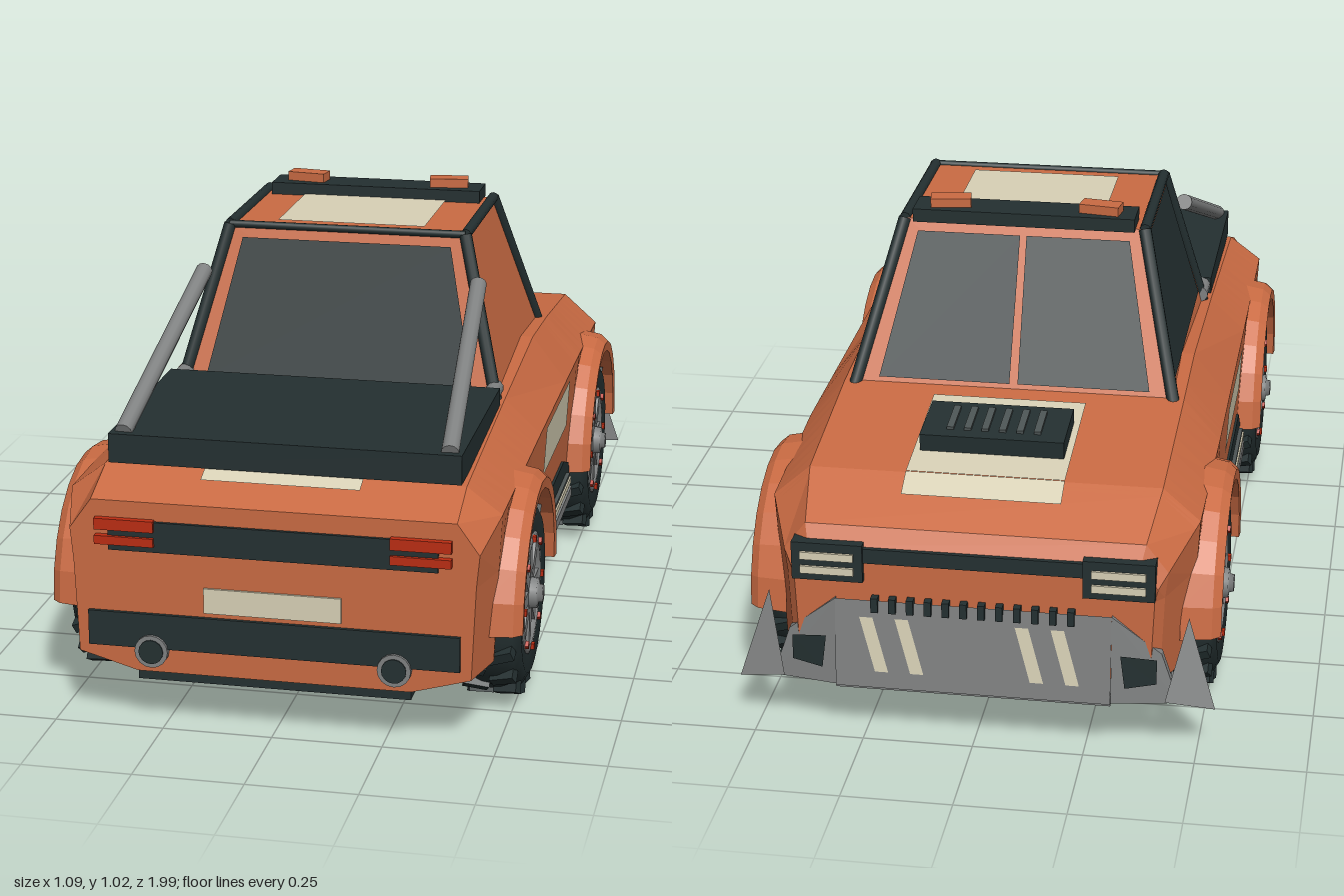
import * as THREE from 'three';
import { ConvexGeometry } from 'three/addons/geometries/ConvexGeometry.js';

const V = (x, y, z) => new THREE.Vector3(x, y, z);
const material = (name, color) => {
  const m = new THREE.MeshStandardMaterial({ color });
  m.name = name;
  return m;
};

export function createModel() {
  const car = new THREE.Group();
  car.name = 'pickupTruck';
  const orange = material('orange paint', 0xca6b43);
  const dark = material('dark trim', 0x243031);
  const cream = material('cream', 0xd8d1b6);
  const grey = material('grey metal', 0x808282);
  const gunmetal = material('gunmetal', 0x4e5656);
  const red = material('red', 0xbb2c12);

  const add = (name, geo, mat, parent = car) => {
    const m = new THREE.Mesh(geo, mat);
    m.name = name;
    parent.add(m);
    return m;
  };
  // box given by its limits on each axis
  const box = (name, mat, x0, x1, y0, y1, z0, z1, parent = car) => {
    const m = add(name, new THREE.BoxGeometry(x1 - x0, y1 - y0, z1 - z0), mat, parent);
    m.position.set((x0 + x1) / 2, (y0 + y1) / 2, (z0 + z1) / 2);
    return m;
  };
  const rod = (name, mat, a, b, r, sides = 10) => {
    const m = add(name, new THREE.CylinderGeometry(r, r, a.distanceTo(b), sides), mat);
    m.position.copy(a).lerp(b, 0.5);
    m.quaternion.setFromUnitVectors(V(0, 1, 0), b.clone().sub(a).normalize());
    return m;
  };
  // four-cornered painted face, raised slightly and turned outward
  const panel = (name, mat, pts, lift = 0.004) => {
    const mid = pts.reduce((s, p) => s.add(p), V(0, 0, 0)).multiplyScalar(0.25);
    const n = pts[1].clone().sub(pts[0]).cross(pts[2].clone().sub(pts[0])).normalize();
    let p = pts;
    if (n.dot(mid.sub(V(0, 0.4, 0))) < 0) { n.negate(); p = [...pts].reverse(); }
    const q = p.map(v => v.clone().addScaledVector(n, lift));
    const g = new THREE.BufferGeometry().setFromPoints([q[0], q[1], q[2], q[0], q[2], q[3]]);
    g.computeVertexNormals();
    return add(name, g, mat);
  };

  // Body shell: z, shoulder half width, shoulder y, deck half width, deck y
  const axles = [-0.57, 0.6], arch = 0.25, axleY = 0.235;
  const outline = [
    [-0.97, 0.41, 0.41, 0.37, 0.46], [-0.945, 0.43, 0.44, 0.38, 0.505],
    [-0.8, 0.485, 0.5, 0.4, 0.575], [-0.4, 0.492, 0.52, 0.405, 0.618],
    [-0.15, 0.492, 0.52, 0.405, 0.632], [0.3, 0.492, 0.52, 0.405, 0.602],
    [0.86, 0.49, 0.51, 0.41, 0.57], [0.98, 0.46, 0.455, 0.41, 0.525]];
  const at = z => {
    let i = 0;
    while (i < outline.length - 2 && z > outline[i + 1][0]) i++;
    const a = outline[i], b = outline[i + 1], t = (z - a[0]) / (b[0] - a[0]);
    return a.map((v, k) => v + (b[k] - v) * t);
  };
  const stations = outline.map(o => o[0]);
  for (const c of axles) {
    for (let k = 0; k <= 12; k++) stations.push(c - arch * Math.cos(k * Math.PI / 12));
    stations.push(c - arch - 0.001, c + arch + 0.001);
  }
  stations.sort((a, b) => a - b);
  const rings = stations.map(z => {
    const [, w, ys, xt, yt] = at(z);
    const c = axles.find(a => Math.abs(z - a) <= arch + 1e-5);
    const inArch = c !== undefined;
    const yb = inArch ? axleY + Math.sqrt(Math.max(0, arch ** 2 - (z - c) ** 2)) : 0.165;
    const low = Math.min(ys, Math.max(yb, 0.38));
    const half = [V(xt, yt, z), V(w, Math.max(ys, yb + 0.012), z), V(w - 0.007, low + (yb > low ? yb - low : 0), z),
      V(w - 0.016, yb, z), V(inArch ? 0.36 : 0.31, inArch ? yb : 0.127, z)];
    return [...half, ...half.map(p => V(-p.x, p.y, p.z)).reverse()];
  });
  const tri = [];
  const n = rings[0].length;
  for (let i = 0; i < rings.length - 1; i++) for (let j = 0; j < n; j++) {
    const k = (j + 1) % n, a = rings[i], d = rings[i + 1];
    tri.push(a[j], d[j], a[k], d[j], d[k], a[k]);
  }
  const first = rings[0], last = rings[rings.length - 1];
  for (let j = 0; j < n; j++) {
    const k = (j + 1) % n;
    tri.push(V(0, 0.3, -0.97), first[j], first[k], V(0, 0.3, 0.98), last[k], last[j]);
  }
  const shell = new THREE.BufferGeometry().setFromPoints(tri);
  shell.computeVertexNormals();
  add('bodyShell', shell, orange);
  box('innerChassis', dark, -0.36, 0.36, 0.13, 0.48, -0.9, 0.9);

  // Flat dark floor with cut corners, pinched between the wheels
  const floor = new THREE.Shape([[-0.3, 0.96], [0.3, 0.96], [0.44, 0.86], [0.36, 0.84], [0.36, 0.37], [0.47, 0.34],
    [0.47, -0.31], [0.36, -0.34], [0.36, -0.81], [0.43, -0.83], [0.38, -0.96], [-0.38, -0.96], [-0.43, -0.83],
    [-0.36, -0.81], [-0.36, -0.34], [-0.47, -0.31], [-0.47, 0.34], [-0.36, 0.37], [-0.36, 0.84], [-0.44, 0.86]]
    .map(p => new THREE.Vector2(...p)));
  const floorMesh = add('floor', new THREE.ExtrudeGeometry(floor, { depth: 0.045, bevelEnabled: false }), dark);
  floorMesh.rotation.x = Math.PI / 2;
  floorMesh.position.y = 0.17;

  // Cabin: tapered block with windows laid on its faces
  const B = (sx, front) => V(sx * 0.385, 0.59, front ? -0.41 : 0.3);
  const T = (sx, front) => V(sx * 0.288, 0.97, front ? -0.22 : 0.19);
  const corners = [];
  for (const s of [-1, 1]) for (const f of [true, false]) corners.push(B(s, f), T(s, f));
  add('cabin', new ConvexGeometry(corners), orange);
  const onFace = (name, [a, b, c, d], u0, u1, v0, v1, mat = dark) => {
    const p = (u, v) => a.clone().lerp(b, u).lerp(d.clone().lerp(c, u), v);
    panel(name, mat, [p(u0, v0), p(u1, v0), p(u1, v1), p(u0, v1)]);
  };
  const frontFace = [B(-1, true), B(1, true), T(1, true), T(-1, true)];
  onFace('windshieldRight', frontFace, 0.07, 0.487, 0.1, 0.93);
  onFace('windshieldLeft', frontFace, 0.513, 0.93, 0.1, 0.93);
  onFace('rearWindow', [B(-1, false), B(1, false), T(1, false), T(-1, false)], 0.07, 0.93, 0.06, 0.92);
  onFace('sideWindow', [B(-1, true), B(-1, false), T(-1, false), T(-1, true)], 0.06, 0.94, 0.13, 0.95);
  for (const s of [-1, 1]) {
    rod('frontPillar', dark, B(s, true), T(s, true), 0.015);
    rod('rearPillar', dark, B(s, false), T(s, false), 0.015);
    rod('roofRail', dark, T(s, true), T(s, false), 0.013);
  }
  rod('roofRearEdge', dark, T(-1, false), T(1, false), 0.009);
  panel('roofStripe', cream, [V(-0.18, 0.97, -0.15), V(0.18, 0.97, -0.15), V(0.18, 0.97, 0.145), V(-0.18, 0.97, 0.145)]);
  box('lightBar', dark, -0.265, 0.265, 0.968, 1, -0.24, -0.145);
  for (const s of [-1, 1]) {
    box('roofLamp', orange, s * 0.18 - 0.048, s * 0.18 + 0.048, 1, 1.022, -0.218, -0.172).rotation.y = s * 0.15;
  }

  // Deck stripes follow the bonnet and tail slopes
  const stripe = (z0, z1) => panel('deckStripe', cream,
    [[-0.18, z0], [0.18, z0], [0.18, z1], [-0.18, z1]].map(([x, z]) => V(x, at(z)[4], z)));
  stripe(-0.86, -0.8);
  stripe(-0.8, -0.45);
  stripe(0.32, 0.35);
  stripe(0.86, 0.9);
  const scoop = box('bonnetScoop', dark, -0.165, 0.165, 0.585, 0.636, -0.71, -0.545);
  scoop.rotation.x = -0.08;
  for (let i = 0; i < 6; i++) {
    const x = -0.1 + i * 0.04;
    box('scoopSlat', gunmetal, x - 0.008, x + 0.008, 0.631, 0.643, -0.68, -0.575).rotation.x = -0.08;
  }

  // Bed cover and slanted sport bars
  box('bedCover', dark, -0.4, 0.4, 0.575, 0.642, 0.345, 0.87);
  for (const s of [-1, 1]) {
    rod('sportBar', grey, V(s * 0.37, 0.642, 0.85), V(s * 0.333, 0.872, 0.27), 0.02, 12);
    rod('barMount', grey, V(s * 0.378, 0.622, 0.275), V(s * 0.378, 0.622, 0.345), 0.02);
  }

  // Sides: door panel, sill, running board
  const sill = new THREE.Shape([[0.32, 0.165], [0.32, 0.245], [0.26, 0.3], [-0.17, 0.3], [-0.26, 0.27], [-0.29, 0.23],
    [-0.29, 0.165]].map(([z, y]) => new THREE.Vector2(-z, y)));
  const sillGeo = new THREE.ExtrudeGeometry(sill, { depth: 0.018, bevelEnabled: false });
  for (const s of [-1, 1]) {
    panel('doorPanel', cream, [V(s * 0.485, 0.39, 0.22), V(s * 0.485, 0.39, -0.195),
      V(s * 0.492, 0.51, -0.195), V(s * 0.492, 0.51, 0.22)]);
    const plate = add('sill', sillGeo, dark);
    plate.rotation.y = Math.PI / 2;
    plate.position.x = s > 0 ? 0.47 : -0.488;
    const side = (name, mat, x0, x1, ...r) => box(name, mat, Math.min(s * x0, s * x1), Math.max(s * x0, s * x1), ...r);
    side('runningBoard', grey, 0.47, 0.503, 0.195, 0.22, -0.22, 0.275);
    side('runningBoardTop', gunmetal, 0.47, 0.498, 0.22, 0.255, -0.22, 0.275);
    side('runningBoardStripe', cream, 0.49, 0.502, 0.231, 0.247, -0.215, 0.27);

    // Tail lamps, exhaust, headlamps
    const x0 = s > 0 ? 0.265 : -0.4;
    box('tailLampUpper', red, x0, x0 + 0.135, 0.46, 0.486, 0.965, 0.996);
    box('tailLampLower', red, x0, x0 + 0.135, 0.426, 0.446, 0.965, 0.996);
    rod('exhaust', grey, V(s * 0.275, 0.18, 0.93), V(s * 0.275, 0.18, 0.996), 0.038, 16);
    rod('exhaustBore', dark, V(s * 0.275, 0.18, 0.98), V(s * 0.275, 0.18, 0.999), 0.028, 16);
    const h = s > 0 ? 0.245 : -0.405;
    box('headlamp', dark, h, h + 0.16, 0.385, 0.475, -0.985, -0.94);
    for (const y of [0.402, 0.436]) box('headlampStrip', cream, h + 0.02, h + 0.14, y, y + 0.018, -0.991, -0.98);

    // Bumper wing, corner fin and vent
    const wing = [V(s * 0.31, 0.34, -0.98), V(s * 0.31, 0.13, -0.99), V(s * 0.46, 0.13, -0.965), V(s * 0.42, 0.25, -0.965)];
    add('bumperWing', new ConvexGeometry([...wing, ...wing.map(p => V(p.x, p.y, p.z + 0.02))]), grey);
    add('bumperFin', new ConvexGeometry([V(s * 0.43, 0.14, -0.985), V(s * 0.54, 0.115, -0.955),
      V(s * 0.505, 0.13, -0.9), V(s * 0.475, 0.32, -0.92)]), grey);
    panel('bumperVent', dark, [V(s * 0.33, 0.25, -0.985), V(s * 0.34, 0.17, -0.985),
      V(s * 0.41, 0.18, -0.973), V(s * 0.41, 0.24, -0.973)], 0.005);
  }

  // Front fascia
  box('grilleStrip', dark, -0.3, 0.3, 0.43, 0.465, -0.978, -0.95);
  const top = -0.976, bottom = -0.992;
  panel('skidPlate', grey, [V(-0.31, 0.34, top), V(0.31, 0.34, top), V(0.31, 0.13, bottom), V(-0.31, 0.13, bottom)]);
  box('skidPlateLip', grey, -0.31, 0.31, 0.125, 0.15, -0.993, -0.95);
  for (let i = 0; i < 12; i++) {
    const x = -0.22 + i * 0.04;
    box('grilleSlat', dark, x - 0.008, x + 0.008, 0.315, 0.35, -0.99, -0.965);
  }
  for (const x of [-0.21, -0.13, 0.14, 0.22]) {
    panel('skidStripe', cream, [V(x + 0.005, 0.3, top - 0.003), V(x + 0.035, 0.3, top - 0.003),
      V(x, 0.17, bottom + 0.003), V(x - 0.03, 0.17, bottom + 0.003)], 0.006);
  }

  // Rear fascia
  box('tailBand', dark, -0.37, 0.37, 0.412, 0.482, 0.96, 0.988);
  box('numberPlate', cream, -0.155, 0.155, 0.277, 0.335, 0.97, 0.986);
  box('rearBumper', dark, -0.42, 0.42, 0.185, 0.266, 0.94, 0.989);
  box('rearDiffuser', dark, -0.31, 0.31, 0.106, 0.128, 0.88, 0.975);

  // Wheels with flares; the local +x side faces outward
  const lathe = (name, pts, mat, parent, segs, start = 0, len = Math.PI * 2) => {
    const m = add(name, new THREE.LatheGeometry(pts.map(p => new THREE.Vector2(...p)), segs, start, len), mat, parent);
    m.rotation.z = -Math.PI / 2;
    return m;
  };
  const flarePaint = material('flare orange', 0xca6b43);
  flarePaint.side = THREE.DoubleSide;
  flarePaint.flatShading = true;
  const liner = material('wheel well', 0x243031);
  liner.side = THREE.DoubleSide;
  for (const s of [-1, 1]) for (const z of axles) {
    const w = new THREE.Group();
    w.name = 'wheel';
    w.position.set(s * 0.45, axleY, z);
    w.rotation.y = s > 0 ? 0 : Math.PI;
    car.add(w);
    lathe('flare', [[0.298, 0], [0.285, 0.07], [0.268, 0.09], [0.243, 0.088], [0.243, 0.02]], flarePaint, w, 12, Math.PI, Math.PI);
    lathe('wheelWell', [[0.246, -0.09], [0.246, 0.06]], liner, w, 16, Math.PI, Math.PI);
    lathe('tyre', [[0.13, -0.065], [0.185, -0.074], [0.212, -0.058], [0.224, -0.02], [0.224, 0.02],
      [0.212, 0.058], [0.185, 0.074], [0.138, 0.068]], dark, w, 28);
    lathe('rim', [[0, -0.045], [0.13, -0.06], [0.145, 0], [0.142, 0.07], [0.122, 0.072], [0.12, 0.055]], grey, w, 24);
    lathe('rimDish', [[0.121, 0.052], [0, 0.054]], gunmetal, w, 24);
    lathe('hub', [[0.04, 0.05], [0.035, 0.085], [0.022, 0.087], [0.02, 0.097], [0, 0.097]], grey, w, 12);
    for (let i = 0; i < 8; i++) {
      const spin = new THREE.Group();
      spin.name = 'spokeSet';
      spin.rotation.x = i * Math.PI / 4;
      w.add(spin);
      box('spoke', grey, 0.045, 0.068, 0.025, 0.128, -0.015, 0.015, spin);
      box('bolt', red, 0.06, 0.079, 0.124, 0.138, -0.007, 0.007, spin);
    }
    for (let i = 0; i < 36; i++) {
      const lug = new THREE.Group();
      lug.name = 'treadLug';
      lug.rotation.x = i * Math.PI / 18;
      w.add(lug);
      const o = i % 2 ? 0.004 : -0.062;
      box('lug', dark, o, o + 0.058, 0.205, 0.235, -0.012, 0.012, lug).rotation.y = i % 2 ? 0.35 : -0.35;
    }
  }
  return car;
}
